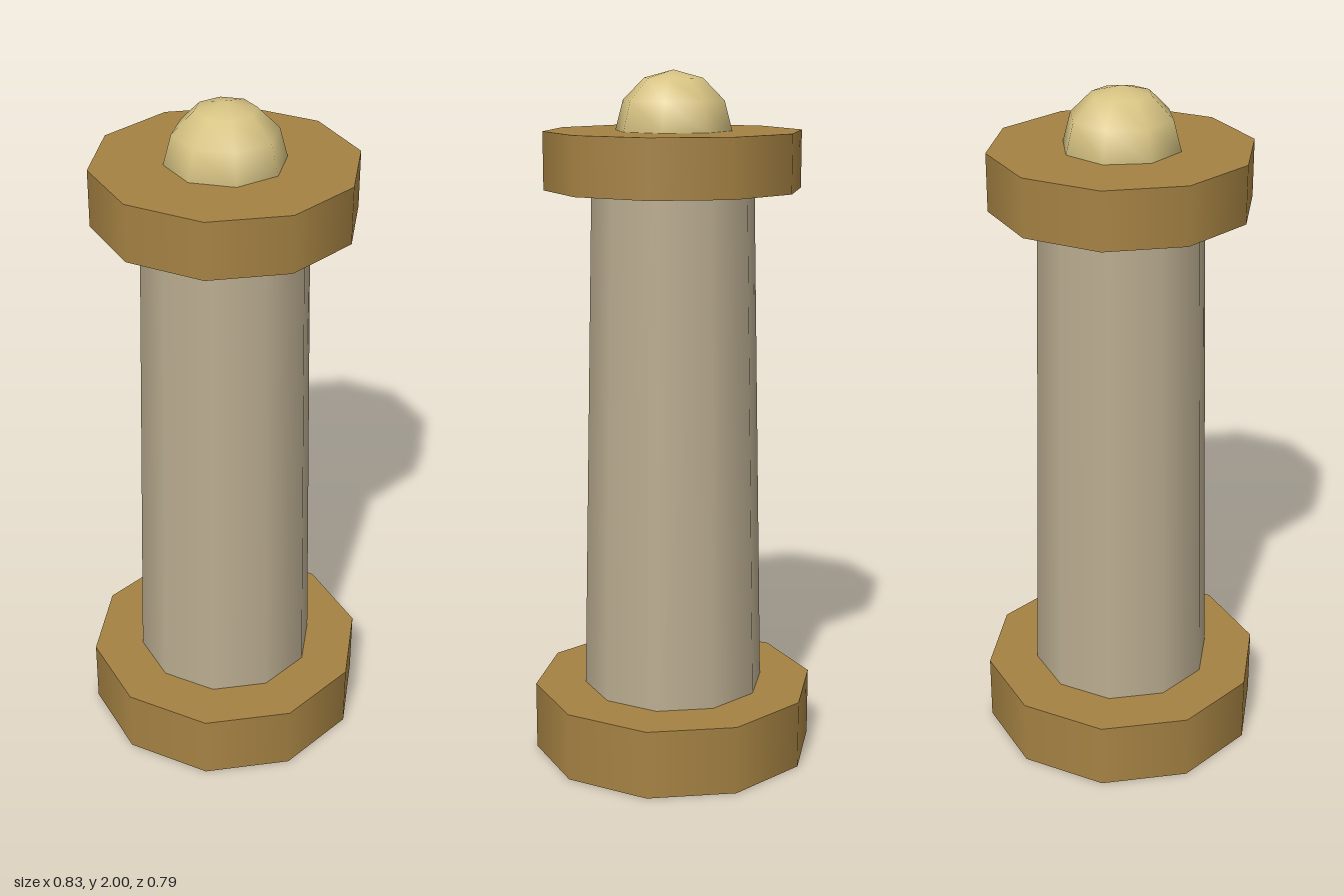
import * as THREE from 'three';

export function createModel() {
  const group = new THREE.Group();
  group.name = 'column';

  const mat = (name, color) => {
    const m = new THREE.MeshStandardMaterial({ color });
    m.name = name;
    return m;
  };
  const bronze = mat('bronze', 0xa58243);
  const stone = mat('stone', 0xbaac90);
  const paleGold = mat('paleGold', 0xd6c282);

  const add = (name, geometry, material, y) => {
    const mesh = new THREE.Mesh(geometry, material);
    mesh.name = name;
    mesh.position.y = y;
    group.add(mesh);
  };
  // Ten-sided drum with corners on the x axis, standing between two heights
  const drum = (name, rTop, rBottom, y0, y1, material) => add(
    name,
    new THREE.CylinderGeometry(rTop, rBottom, y1 - y0, 10, 1, false, Math.PI / 2),
    material,
    (y0 + y1) / 2
  );

  drum('base', 0.415, 0.415, 0, 0.2, bronze);
  drum('shaft', 0.233, 0.266, 0.2, 1.67, stone);
  drum('capital', 0.367, 0.367, 1.67, 1.833, bronze);

  // Half-sphere finial
  add('finial', new THREE.SphereGeometry(0.167, 8, 3, 0, Math.PI * 2, 0, Math.PI / 2), paleGold, 1.833);

  return group;
}
